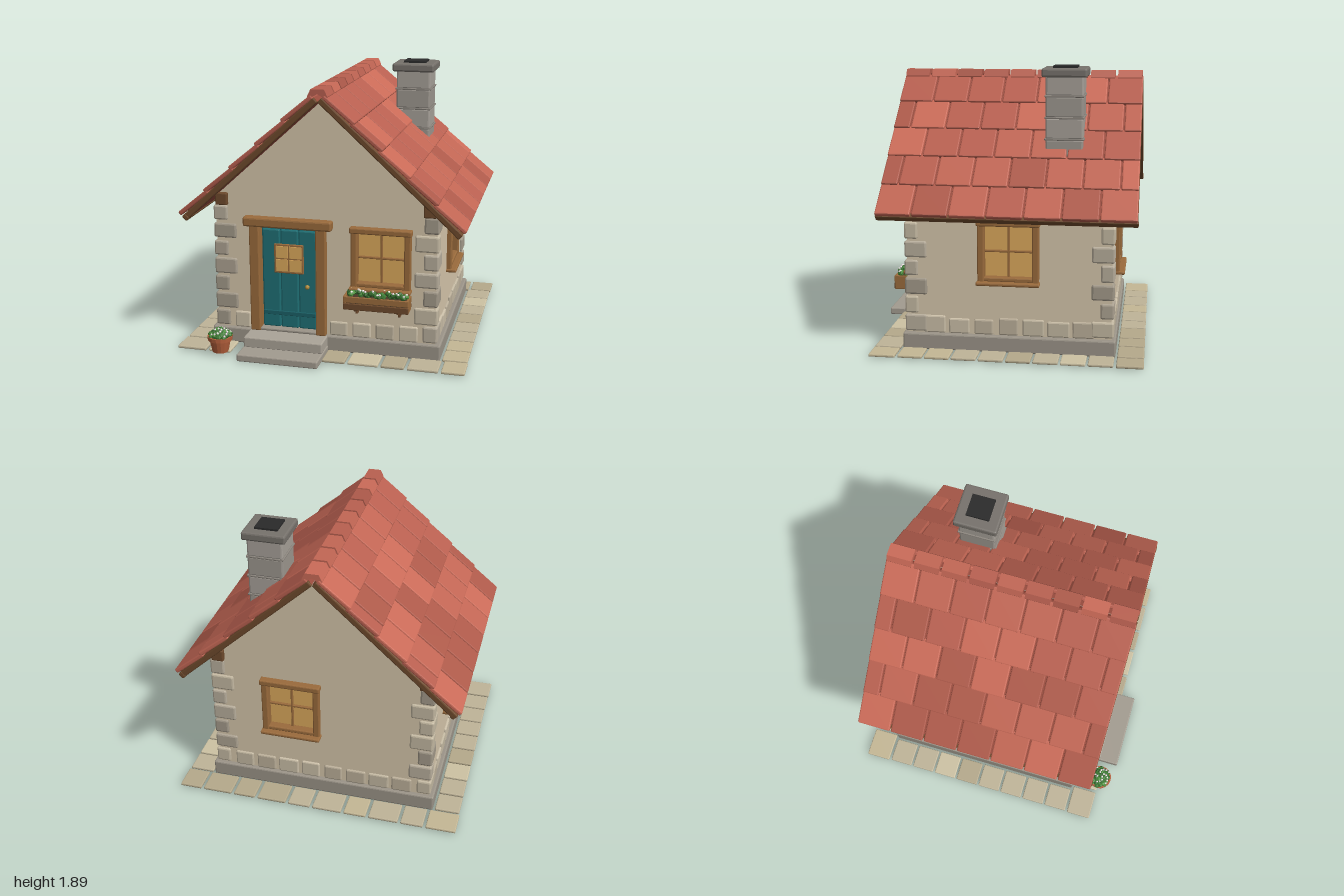
import * as THREE from 'three';
import { RoundedBoxGeometry } from 'three/addons/geometries/RoundedBoxGeometry.js';

const mats = {};
const mat = (color) => (mats[color] ??= new THREE.MeshStandardMaterial({ color, flatShading: true }));
const WALL = 0xd6c6ab, WOOD = 0x9a6b3c, DARK_WOOD = 0x6e4a2c, GLASS = 0xdca95c, DOOR = 0x1f6f74, RAIL = 0x1a6066;
const STONES = [0xb8ae9c, 0xa39a8a, 0xc4b9a2, 0xada392];
const PAVERS = [0xc4b795, 0xb5a98b, 0xcdc2a3, 0xbfb498];
const TILES = [0xb96050, 0xcb6b58, 0xae5a4a, 0xc26654];

let seed = 7;
const rand = () => (seed = (seed * 16807) % 2147483647) / 2147483647;
const pick = (list) => list[Math.floor(rand() * list.length)];

function add(parent, name, geo, color, x = 0, y = 0, z = 0) {
  const mesh = new THREE.Mesh(geo, mat(color));
  mesh.name = name;
  mesh.position.set(x, y, z);
  parent.add(mesh);
  return mesh;
}

// Box with a small bevel, centred on x, y, z
function block(parent, name, color, w, h, d, x, y, z, r = 0.008) {
  const geo = new RoundedBoxGeometry(w, h, d, 1, Math.min(r, w / 3, h / 3, d / 3));
  return add(parent, name, geo, color, x, y, z);
}

function group(parent, name, x = 0, y = 0, z = 0, ry = 0) {
  const g = new THREE.Group();
  g.name = name;
  g.position.set(x, y, z);
  g.rotation.y = ry;
  parent.add(g);
  return g;
}

// Wall slab with rectangular holes [x0, y0, x1, y1]; its outer face lies on z = 0
function wall(parent, name, outline, holes) {
  const shape = new THREE.Shape(outline.map(([x, y]) => new THREE.Vector2(x, y)));
  for (const [a, b, c, d] of holes) {
    shape.holes.push(new THREE.Path([[a, b], [a, d], [c, d], [c, b]].map(([x, y]) => new THREE.Vector2(x, y))));
  }
  add(parent, name, new THREE.ExtrudeGeometry(shape, { depth: 0.06, bevelEnabled: false }), WALL, 0, 0, -0.06);
}

// Four-pane window, centred on x at the wall face
function windowUnit(parent, x) {
  const g = group(parent, 'window', x, 0.69, 0);
  add(g, 'windowGlass', new THREE.BoxGeometry(0.36, 0.38, 0.01), GLASS, 0, 0, -0.03);
  for (const s of [-1, 1]) block(g, 'windowJamb', WOOD, 0.045, 0.4, 0.07, s * 0.181, -0.01, 0);
  block(g, 'windowLintel', WOOD, 0.42, 0.04, 0.08, 0, 0.195, 0.01);
  block(g, 'windowBottomRail', WOOD, 0.36, 0.03, 0.06, 0, -0.185, 0);
  block(g, 'windowSill', WOOD, 0.42, 0.024, 0.1, 0, -0.208, 0.02);
  block(g, 'windowMullion', WOOD, 0.014, 0.36, 0.02, 0, 0, -0.017, 0.003);
  block(g, 'windowMuntin', WOOD, 0.34, 0.014, 0.02, 0, 0, -0.017, 0.003);
}
const windowHole = (x) => [x - 0.17, 0.5, x + 0.17, 0.88];

// Leafy clumps with small white flowers scattered over an ellipse or a rectangle
function foliage(parent, n, w, h, d, round) {
  const leaf = new THREE.IcosahedronGeometry(0.022, 0), petal = new THREE.IcosahedronGeometry(0.009, 0);
  for (let i = 0; i < n; i++) {
    const t = i * 2.4, q = Math.sqrt((i + 0.5) / n);
    const x = round ? Math.cos(t) * q * w : (((i + 0.5) / n) * 2 - 1) * w;
    const z = round ? Math.sin(t) * q * d : (rand() * 2 - 1) * d;
    const y = round ? h * (1 - q * q * 0.75) : h * (0.4 + 0.6 * rand());
    const m = add(parent, 'leaves', leaf, pick([0x3f7d35, 0x4f9440, 0x356b2e]), x, y, z);
    m.scale.set(1, 0.75, 1);
    m.rotation.set(t, t * 2, 0);
    if (i % 2) add(parent, 'flower', petal, pick([0xf2eee6, 0xe6d9de]), x + 0.006, y + 0.016, z + 0.006);
  }
}

// Row of base stones along a wall face
function baseStones(parent, x0, x1, n) {
  const p = (x1 - x0) / n;
  for (let i = 0; i < n; i++) {
    const h = 0.1 + rand() * 0.018, w = p - 0.015 - rand() * 0.025;
    block(parent, 'baseStone', pick([0xc4b9a2, 0xcbbfa8, 0xbcb09a]), w, h, 0.04, x0 + p * (i + 0.5), 0.122 + h / 2, -0.005, 0.01);
  }
}

function buildWalls(house) {
  const gable = [[-0.76, 0.12], [0.76, 0.12], [0.76, 1.056], [0, 1.745], [-0.76, 1.056]];
  const side = [[-0.68, 0.12], [0.68, 0.12], [0.68, 1.06], [-0.68, 1.06]];
  const front = group(house, 'frontWall', 0, 0, 0.68);
  wall(front, 'frontGable', gable, [[-0.46, 0.13, -0.04, 0.88], windowHole(0.39)]);
  windowUnit(front, 0.39);
  baseStones(front, 0.02, 0.66, 4);
  baseStones(front, -0.65, -0.52, 1);
  const back = group(house, 'backWall', 0, 0, -0.68, Math.PI);
  wall(back, 'backGable', gable, [windowHole(-0.21)]);
  windowUnit(back, -0.21);
  baseStones(back, -0.65, 0.65, 8);
  for (const s of [-1, 1]) {
    const g = group(house, 'sideWall', s * 0.76, 0, 0, s * Math.PI / 2);
    wall(g, 'sideWallSlab', side, [windowHole(0)]);
    windowUnit(g, 0);
    baseStones(g, -0.58, 0.58, 7);
    block(house, 'wallPlate', DARK_WOOD, 0.085, 0.085, 1.42, s * 0.715, 1.04, 0);
    // Corner stones, long and short by turns
    for (const t of [-1, 1]) for (let i = 0; i < 7; i++) {
      const long = i % 2, w = long ? 0.16 : 0.1, d = long ? 0.09 : 0.15, h = 0.1 + rand() * 0.016;
      block(house, 'cornerStone', pick(STONES), w, h, d, s * (0.777 - w / 2), 0.185 + i * 0.126, t * (0.697 - d / 2), 0.012);
    }
  }
  block(house, 'plinth', 0x9b9488, 1.6, 0.11, 1.42, 0, 0.065, 0, 0.01);
}

function buildDoor(house) {
  const g = group(house, 'door', -0.25, 0, 0.68);
  block(g, 'doorBacking', RAIL, 0.42, 0.74, 0.02, 0, 0.5, -0.045);
  for (const i of [-1, 0, 1]) block(g, 'doorPlank', DOOR, 0.122, 0.7, 0.03, i * 0.128, 0.49, -0.025);
  block(g, 'doorRail', RAIL, 0.37, 0.03, 0.012, 0, 0.245, -0.006, 0.003);
  for (const s of [-1, 1]) block(g, 'doorPost', WOOD, 0.07, 0.76, 0.09, s * 0.232, 0.5, 0);
  block(g, 'doorLintel', WOOD, 0.615, 0.066, 0.11, 0.002, 0.9, 0.005, 0.012);
  block(g, 'doorThreshold', 0x9b9488, 0.4, 0.02, 0.08, 0, 0.132, 0);
  block(g, 'doorWindowFrame', WOOD, 0.206, 0.206, 0.018, 0, 0.64, -0.006, 0.004);
  for (const sx of [-1, 1]) for (const sy of [-1, 1]) {
    block(g, 'doorPane', GLASS, 0.086, 0.086, 0.01, sx * 0.047, 0.64 + sy * 0.047, 0.001, 0.002);
  }
  add(g, 'doorKnob', new THREE.SphereGeometry(0.016, 10, 8), 0xb08a3a, 0.13, 0.45, 0.005);
  block(g, 'lowerStep', 0xa29b8f, 0.56, 0.05, 0.3, 0, 0.025, 0.17);
  block(g, 'upperStep', 0xaba498, 0.55, 0.075, 0.16, 0, 0.082, 0.1);
}

function buildFlowers(house) {
  const box = group(house, 'flowerBox', 0.38, 0.36, 0.755);
  block(box, 'boxSoil', 0x4a3828, 0.41, 0.08, 0.09, 0, 0.045, 0);
  for (const s of [-1, 1]) {
    for (const y of [0.026, 0.074]) block(box, 'boxBoard', y < 0.05 ? DARK_WOOD : WOOD, 0.44, 0.044, 0.014, 0, y, s * 0.052, 0.004);
    block(box, 'boxEnd', WOOD, 0.016, 0.095, 0.11, s * 0.212, 0.05, 0, 0.004);
    block(box, 'boxBracket', DARK_WOOD, 0.018, 0.05, 0.05, s * 0.145, -0.025, -0.045, 0.004);
    block(box, 'boxBracketArm', DARK_WOOD, 0.018, 0.016, 0.1, s * 0.145, -0.005, -0.015, 0.004);
  }
  const bed = group(box, 'boxPlants', 0, 0.085, 0);
  foliage(bed, 46, 0.2, 0.032, 0.045, false);

  const pot = group(house, 'flowerPot', -0.68, 0.02, 0.895);
  const profile = [[0, 0], [0.055, 0], [0.073, 0.085], [0.084, 0.085], [0.086, 0.112], [0.074, 0.112], [0.07, 0.095], [0, 0.095]];
  add(pot, 'pot', new THREE.LatheGeometry(profile.map(([x, y]) => new THREE.Vector2(x, y)), 16), 0xb5603c);
  const plant = group(pot, 'potPlant', 0, 0.1, 0);
  foliage(plant, 40, 0.07, 0.05, 0.07, true);
  add(plant, 'plantCore', new THREE.IcosahedronGeometry(0.06, 1), 0x3f7d35).scale.y = 0.7;
}

function buildRoof(house) {
  const angle = 0.74, len = 1.246, half = 0.845, rows = 5, cols = 7;
  const pitch = 0.245, colW = (half * 2) / cols;
  for (const turn of [0, Math.PI]) {
    const sideGroup = group(house, 'roofSide', 0, 1.75, 0, turn);
    const slope = group(sideGroup, 'roofSlope');
    slope.rotation.z = -angle;
    add(slope, 'roofDeck', new THREE.BoxGeometry(len - 0.02, 0.035, half * 2 - 0.04), 0x9a4c3e, len / 2 - 0.01, 0.02, 0);
    for (const s of [-1, 1]) block(slope, 'bargeBoard', DARK_WOOD, len, 0.042, 0.03, len / 2, 0.019, s * (half - 0.018));
    block(slope, 'eaveBoard', DARK_WOOD, 0.035, 0.045, half * 2, len - 0.018, 0.018, 0);
    // Overlapping tiles, every second row shifted by half a tile
    for (let i = 0; i < rows; i++) {
      const shift = i % 2 ? 0.5 : 0;
      for (let j = 0; j < cols + shift * 2; j++) {
        const z0 = Math.max(-half, -half + (j - shift) * colW), z1 = Math.min(half, -half + (j - shift + 1) * colW);
        const tile = block(slope, 'roofTile', pick(TILES), 0.265, 0.03, z1 - z0 - 0.01, len - i * pitch - 0.13, 0.056, (z0 + z1) / 2);
        tile.rotation.z = 0.055;
      }
    }
  }
  // Ridge caps
  const cap = new THREE.Shape([[-0.062, -0.035], [0, 0], [0.062, -0.035], [0.066, -0.015], [0.045, 0.03], [-0.045, 0.03], [-0.066, -0.015]].map(([x, y]) => new THREE.Vector2(x, y)));
  const p = (half * 2) / 9;
  for (let i = 0; i < 9; i++) {
    add(house, 'ridgeCap', new THREE.ExtrudeGeometry(cap, { depth: p - 0.02, bevelEnabled: false }), pick(TILES), 0, 1.8, -half + i * p + 0.01);
  }
}

function buildChimney(house) {
  const g = group(house, 'chimney', 0.43, 0, -0.34);
  for (let i = 0; i < 5; i++) {
    block(g, 'chimneyCourse', i % 2 ? 0x9d978f : 0xa7a199, 0.245, 0.142, 0.25, 0, 1.195 + i * 0.142, 0, 0.012);
    block(g, 'chimneyJoint', 0x8c867e, 0.258, 0.014, 0.262, 0, 1.266 + i * 0.142, 0, 0.004);
  }
  block(g, 'chimneyCap', 0x77726c, 0.3, 0.058, 0.3, 0, 1.846, 0, 0.012);
  add(g, 'chimneyFlue', new THREE.BoxGeometry(0.16, 0.02, 0.16), 0x2a2a2a, 0, 1.878, 0);
}

// Flat stones around the house, leaving a gap at the step
function buildPaving(house) {
  const paver = (w, d, x, z) => block(house, 'pavingStone', pick(PAVERS), w - 0.02, 0.02, d - 0.015, x, 0.018, z, 0.007);
  for (const s of [-1, 1]) {
    let x = -1;
    for (let i = 0; i < 10; i++) {
      const w = i === 9 ? 1 - x : 0.2 + (i % 2 ? -0.025 : 0.025);
      if (s < 0 || x + w < -0.52 || x > 0.0) paver(w, 0.19, x + w / 2, s * 0.81);
      x += w;
    }
    for (let i = 0; i < 8; i++) paver(0.19, 0.178, s * 0.9, -0.623 + i * 0.178);
  }
}

export function createModel() {
  const model = new THREE.Group();
  model.name = 'cottage';
  const house = group(model, 'house', 0, 0, -0.05);
  buildWalls(house);
  buildDoor(house);
  buildFlowers(house);
  buildRoof(house);
  buildChimney(house);
  buildPaving(house);
  return model;
}
